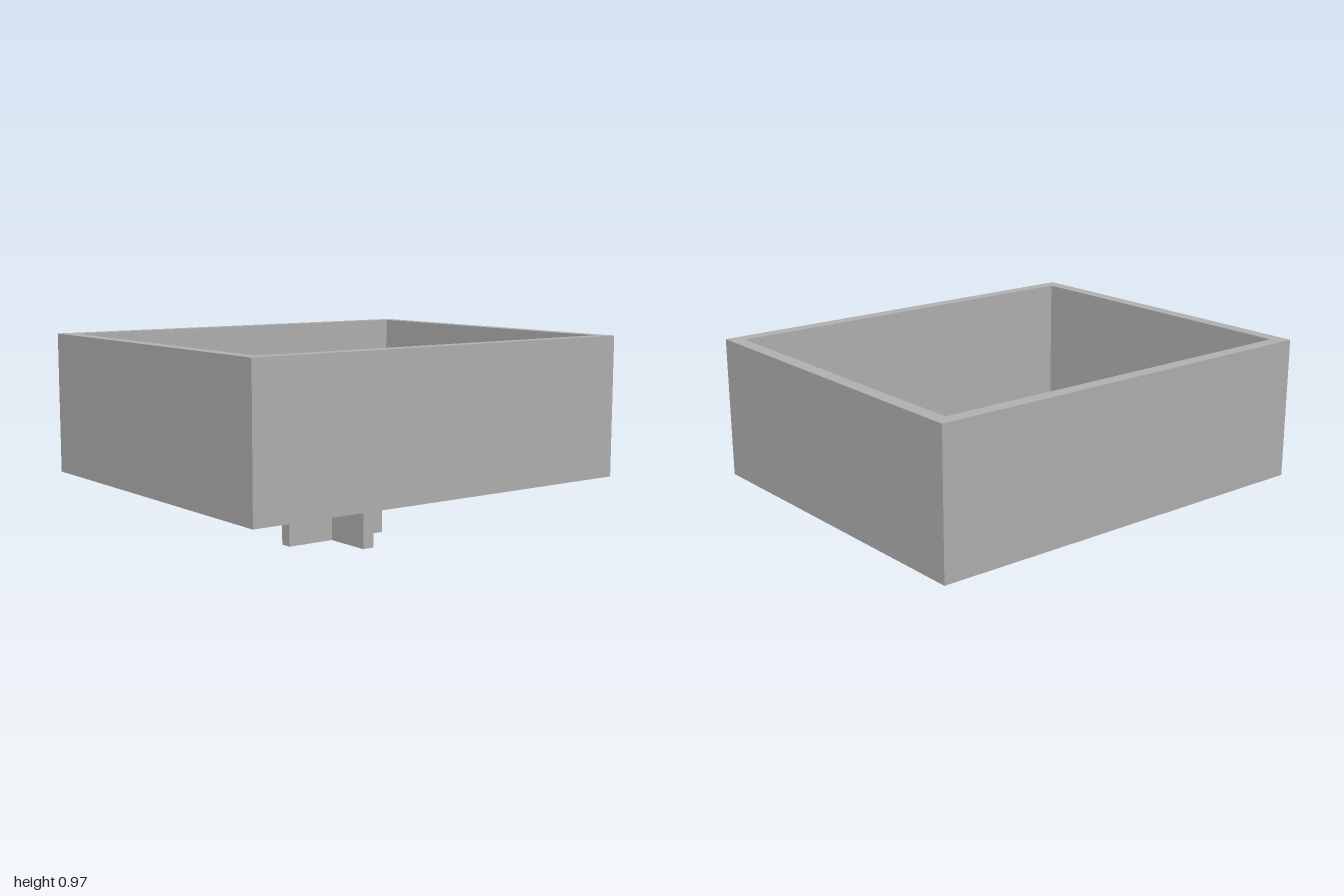
import * as THREE from 'three';

const WIDTH = 2, DEPTH = 1.66, WALL = 0.065;
const BASE_Y = 0.31, FLOOR_Y = 0.373, TOP_Y = 0.97;
const HOLE_R = 0.277, RIB = 0.06;

function rectangle(PathType, w, d) {
  const path = new PathType();
  path.moveTo(-w / 2, -d / 2);
  path.lineTo(w / 2, -d / 2);
  path.lineTo(w / 2, d / 2);
  path.lineTo(-w / 2, d / 2);
  path.closePath();
  return path;
}

// Extrude a plan outline upwards from y0 to y1
function slab(shape, y0, y1) {
  const geometry = new THREE.ExtrudeGeometry(shape, { depth: y1 - y0, bevelEnabled: false });
  geometry.rotateX(-Math.PI / 2);
  geometry.translate(0, y0, 0);
  return geometry;
}

export function createModel() {
  const group = new THREE.Group();
  const grey = new THREE.MeshStandardMaterial({ color: 0xb2b2b2 });
  grey.name = 'plainGrey';

  const add = (name, geometry) => {
    const mesh = new THREE.Mesh(geometry, grey);
    mesh.name = name;
    group.add(mesh);
  };

  // Floor with a twelve-sided drain hole
  const floor = rectangle(THREE.Shape, WIDTH, DEPTH);
  const corners = [];
  for (let i = 0; i < 12; i++) {
    const a = (i / 12) * Math.PI * 2;
    corners.push(new THREE.Vector2(Math.cos(a) * HOLE_R, Math.sin(a) * HOLE_R));
  }
  floor.holes.push(new THREE.Path(corners));
  add('floor', slab(floor, BASE_Y, FLOOR_Y));

  // Four walls as one open frame
  const walls = rectangle(THREE.Shape, WIDTH, DEPTH);
  walls.holes.push(rectangle(THREE.Path, WIDTH - 2 * WALL, DEPTH - 2 * WALL));
  add('walls', slab(walls, FLOOR_Y, TOP_Y));

  // Cross-shaped stem, flush with the floor and reaching the ground
  const r = RIB / 2, e = 0.273;
  const cross = new THREE.Shape([
    [e, -r], [e, r], [r, r], [r, e], [-r, e], [-r, r],
    [-e, r], [-e, -r], [-r, -r], [-r, -e], [r, -e], [r, -r],
  ].map(([x, z]) => new THREE.Vector2(x, z)));
  add('crossStem', slab(cross, 0, FLOOR_Y));

  return group;
}
